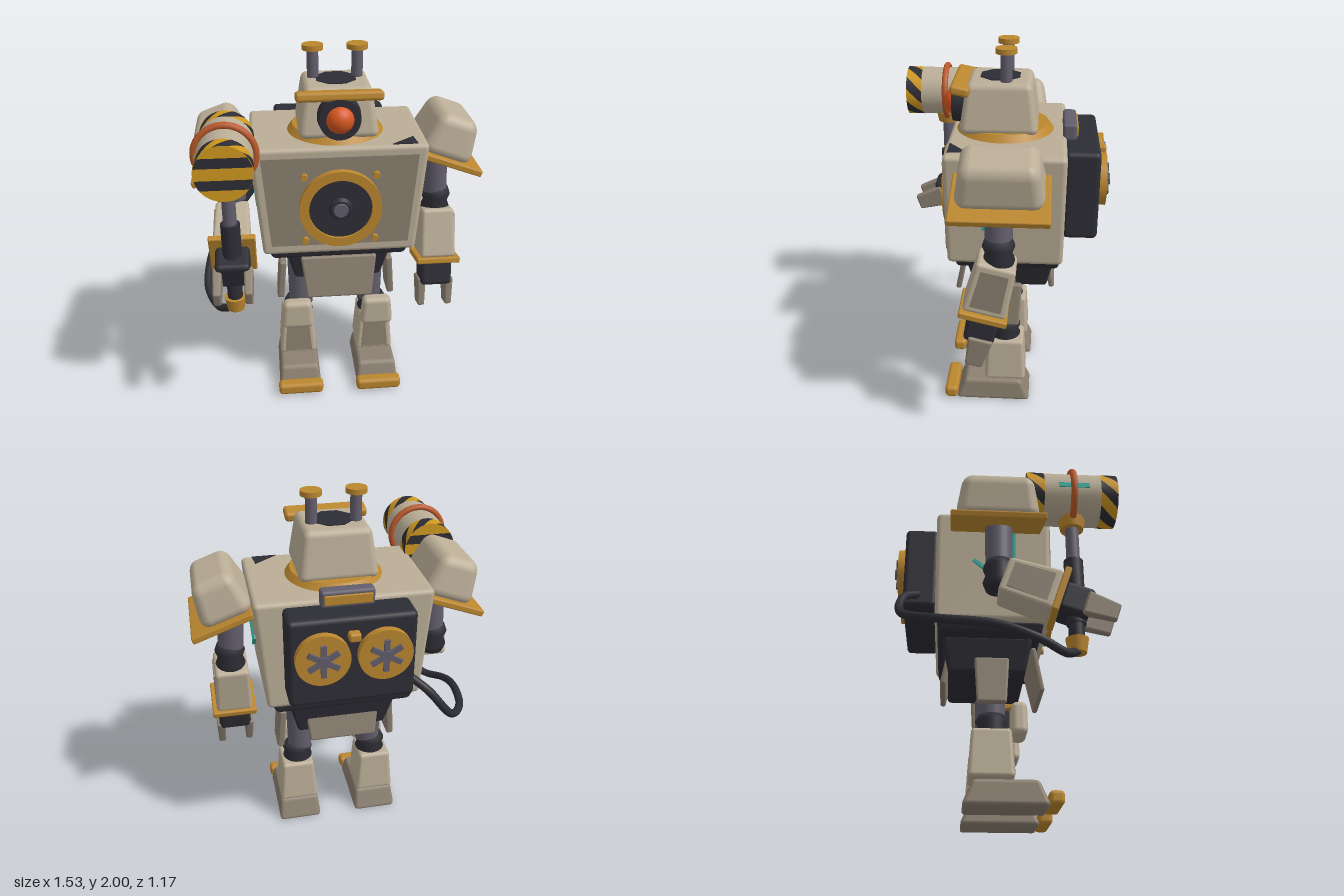
import * as THREE from 'three';
import { RoundedBoxGeometry } from 'three/addons/geometries/RoundedBoxGeometry.js';

const mat = (name, color) => Object.assign(new THREE.MeshStandardMaterial({ color }), { name });
const beige = mat('beige armour', 0xbbae97), taupe = mat('taupe panel', 0x8c8071), gold = mat('gold trim', 0xbb872f);
const dark = mat('dark rubber', 0x2d2d35), grey = mat('grey metal', 0x625e6c), orange = mat('orange lens', 0xd8571f);
const copper = mat('copper ring', 0xb9592b), yellow = mat('hazard yellow', 0xd0991f), teal = mat('teal light', 0x2bab9b);

function add(parent, name, geometry, material, x = 0, y = 0, z = 0, rx = 0, ry = 0, rz = 0) {
  const m = new THREE.Mesh(geometry, material);
  m.name = name;
  m.position.set(x, y, z);
  m.rotation.set(rx, ry, rz);
  parent.add(m);
  return m;
}
function group(parent, name, x = 0, y = 0, z = 0, rx = 0, ry = 0, rz = 0) {
  const g = new THREE.Group();
  g.name = name;
  g.position.set(x, y, z);
  g.rotation.set(rx, ry, rz);
  parent.add(g);
  return g;
}
const rbox = (w, h, d, r = 0.012) => new RoundedBoxGeometry(w, h, d, 2, r);
const cyl = (rt, rb, h, n = 32) => new THREE.CylinderGeometry(rt, rb, h, n);

// Rounded box whose width and depth change from bottom to top
function taperBox(wb, db, wt, dt, h, r = 0.02) {
  const w = (wb + wt) / 2, d = (db + dt) / 2, g = new RoundedBoxGeometry(w, h, d, 3, r);
  const p = g.attributes.position, n = g.attributes.normal, v = new THREE.Vector3();
  const kx = (wt - wb) / w / h, kz = (dt - db) / d / h;
  for (let i = 0; i < p.count; i++) {
    const x = p.getX(i), y = p.getY(i), z = p.getZ(i), sx = 1 + kx * y, sz = 1 + kz * y;
    p.setXYZ(i, x * sx, y, z * sz);
    v.set(n.getX(i) / sx, n.getY(i) - n.getX(i) * x * kx / sx - n.getZ(i) * z * kz / sz, n.getZ(i) / sz).normalize();
    n.setXYZ(i, v.x, v.y, v.z);
  }
  return g;
}
// Flat trapezoid plate facing +z
function plate(wb, wt, h, t = 0.008) {
  const s = new THREE.Shape([[-wb, -h], [wb, -h], [wt, h], [-wt, h]].map(([x, y]) => new THREE.Vector2(x / 2, y / 2)));
  return new THREE.ExtrudeGeometry(s, { depth: t, bevelEnabled: false });
}
// Ribbed joint
function bellows(r, h, n) {
  const pts = [new THREE.Vector2(0, -h / 2)];
  for (let i = 0; i <= 2 * n; i++) pts.push(new THREE.Vector2(i % 2 ? r : r * 0.82, -h / 2 + h * i / (2 * n)));
  pts.push(new THREE.Vector2(0, h / 2));
  return new THREE.LatheGeometry(pts, 24);
}
function ring(ro, ri, t) {
  const s = new THREE.Shape().absarc(0, 0, ro, 0, Math.PI * 2);
  s.holes.push(new THREE.Path().absarc(0, 0, ri, 0, Math.PI * 2, true));
  return new THREE.ExtrudeGeometry(s, { depth: t, bevelEnabled: false, curveSegments: 40 });
}

function torso(root) {
  const g = group(root, 'torso');
  add(g, 'chestShell', taperBox(0.82, 0.6, 0.92, 0.61, 0.61, 0.025), beige, 0, 1.245, -0.05);
  add(g, 'chestPanel', plate(0.73, 0.81, 0.5), taupe, 0, 1.25, 0.252);
  add(g, 'portholeRing', ring(0.215, 0.165, 0.04), gold, 0, 1.22, 0.255);
  add(g, 'portholeDisc', cyl(0.17, 0.17, 0.03, 40), dark, 0, 1.22, 0.265, Math.PI / 2);
  add(g, 'portholeHubRim', cyl(0.05, 0.066, 0.025), dark, 0, 1.22, 0.288, Math.PI / 2);
  add(g, 'portholeHub', cyl(0.036, 0.045, 0.02), grey, 0, 1.22, 0.298, Math.PI / 2);
  for (const x of [-0.185, 0.185]) for (const y of [1.035, 1.4])
    add(g, 'chestBolt', cyl(0.018, 0.02, 0.03, 12), gold, x, y, 0.268, Math.PI / 2);
  // Worn patch on the top front corner
  const chip = new THREE.Shape([[0.27, -0.235], [0.4, -0.235], [0.39, -0.14]].map(a => new THREE.Vector2(...a)));
  add(g, 'cornerChip', new THREE.ExtrudeGeometry(chip, { depth: 0.005, bevelEnabled: false }), dark, 0, 1.549, 0, -Math.PI / 2);
  // Light strips under the arms
  for (const s of [-1, 1]) {
    add(g, 'sideLight', new THREE.BoxGeometry(0.012, 0.28, 0.02), teal, s * 0.445, 1.29, 0.055, 0, 0, -s * 0.08);
    add(g, 'sideLightDiagonal', new THREE.BoxGeometry(0.016, 0.18, 0.02), teal, s * 0.438, 1.215, -0.085, -0.9);
  }
  // Waist, pelvis and skirt plates
  add(g, 'waist', taperBox(0.72, 0.53, 0.77, 0.56, 0.06), dark, 0, 0.92, -0.06);
  add(g, 'pelvis', taperBox(0.48, 0.4, 0.58, 0.48, 0.19), dark, 0, 0.81, -0.07);
  add(g, 'frontSkirt', taperBox(0.36, 0.03, 0.42, 0.03, 0.24, 0.012), taupe, 0, 0.762, 0.2, -0.2);
  add(g, 'backSkirt', taperBox(0.36, 0.03, 0.42, 0.03, 0.22, 0.012), taupe, 0, 0.78, -0.28, 0.2);
  for (const s of [-1, 1]) add(g, 'sideSkirt', taperBox(0.04, 0.15, 0.04, 0.18, 0.25, 0.012), taupe, s * 0.315, 0.64, -0.05, 0, 0, s * 0.08);
}

function head(root) {
  const g = group(root, 'head');
  add(g, 'collar', cyl(0.23, 0.26, 0.04, 40), gold, 0, 1.565, -0.03);
  add(g, 'skull', taperBox(0.42, 0.41, 0.34, 0.33, 0.26, 0.035), beige, 0, 1.7, -0.005);
  add(g, 'brow', rbox(0.44, 0.05, 0.1, 0.018), gold, 0, 1.8, 0.19, -0.2);
  add(g, 'crownHatch', cyl(0.11, 0.11, 0.008, 8), dark, 0, 1.831, -0.005, 0, Math.PI / 8);
  add(g, 'eyeSocket', cyl(0.105, 0.115, 0.09, 36), dark, 0, 1.69, 0.2, Math.PI / 2);
  add(g, 'eye', new THREE.SphereGeometry(0.075, 28, 18), orange, 0, 1.69, 0.22);
  for (const s of [-1, 1]) {
    add(g, 'antennaStalk', cyl(0.03, 0.03, 0.16, 20), grey, s * 0.115, 1.9, -0.04);
    add(g, 'antennaCap', cyl(0.055, 0.055, 0.027, 24), gold, s * 0.115, 1.9865, -0.04);
  }
}

function backpack(root) {
  const g = group(root, 'backpack');
  add(g, 'pack', rbox(0.64, 0.475, 0.18, 0.025), dark, 0, 1.292, -0.435);
  add(g, 'packHandle', rbox(0.27, 0.09, 0.07, 0.015), grey, 0, 1.57, -0.37);
  add(g, 'handleTrim', rbox(0.24, 0.05, 0.012, 0.004), gold, 0, 1.57, -0.408);
  add(g, 'packLatch', rbox(0.06, 0.045, 0.06), gold, 0, 1.44, -0.54);
  for (const s of [-1, 1]) {
    const f = group(g, 'fan', s * 0.155, 1.33, -0.54);
    add(f, 'fanDisc', cyl(0.137, 0.137, 0.045, 36), gold, 0, 0, 0, Math.PI / 2);
    add(f, 'fanHub', cyl(0.03, 0.03, 0.05, 20), grey, 0, 0, -0.02, Math.PI / 2);
    for (let i = 0; i < 6; i++) {
      const a = i * Math.PI / 3;
      add(f, 'fanBlade', new THREE.BoxGeometry(0.028, 0.07, 0.02), grey, -Math.sin(a) * 0.052, Math.cos(a) * 0.052, -0.026, 0, 0, a);
    }
  }
  const path = [[-0.3, 1.13, -0.44], [-0.4, 1.06, -0.51], [-0.53, 0.9, -0.51], [-0.66, 0.81, -0.32], [-0.72, 0.76, -0.05],
    [-0.725, 0.69, 0.15], [-0.66, 0.65, 0.28], [-0.57, 0.7, 0.35]].map(p => new THREE.Vector3(...p));
  add(g, 'hose', new THREE.TubeGeometry(new THREE.CatmullRomCurve3(path), 64, 0.022, 12), dark);
}

// s is the side, bend is how far the forearm swings forward
function arm(root, s, bend) {
  const g = group(root, s > 0 ? 'leftArm' : 'rightArm');
  const p = group(g, 'shoulder', s * 0.605, 1.4, -0.04, 0, 0, -s * 0.35);
  add(p, 'shoulderRim', rbox(0.33, 0.035, 0.48, 0.008), gold);
  add(p, 'pauldron', taperBox(0.29, 0.44, 0.21, 0.36, 0.23, 0.055), beige, -s * 0.04, 0.12, 0);
  add(g, 'upperArm', cyl(0.072, 0.068, 0.28, 28), grey, s * 0.555, 1.29, -0.03, 0, 0, s * 0.06);
  add(g, 'elbow', bellows(0.082, 0.16, 2), dark, s * 0.57, 1.1, -0.03);
  const f = group(g, 'forearm', s * 0.57, 1.08, -0.03, -bend);
  add(f, 'forearmShell', taperBox(0.2, 0.23, 0.18, 0.2, 0.28), beige, 0, -0.16, 0);
  add(f, 'forearmPanel', plate(0.16, 0.14, 0.21), taupe, s * 0.091, -0.16, 0, 0, s * Math.PI / 2, 0);
  add(f, 'cuff', rbox(0.245, 0.035, 0.25, 0.008), gold, 0, -0.315, 0);
  add(f, 'hand', rbox(0.18, 0.16, 0.16, 0.025), dark, 0, -0.4, -0.01);
  for (const t of [-1, 1]) add(f, 'finger', taperBox(0.04, 0.09, 0.05, 0.13, 0.17, 0.012), taupe, t * 0.08, -0.53, -0.02);
}

function leg(root, s) {
  const g = group(root, s > 0 ? 'leftLeg' : 'rightLeg');
  add(g, 'thigh', cyl(0.075, 0.068, 0.32, 28), grey, s * 0.205, 0.61, -0.045);
  add(g, 'kneeJoint', bellows(0.085, 0.12, 2), dark, s * 0.22, 0.42, -0.045);
  add(g, 'kneePad', taperBox(0.195, 0.085, 0.16, 0.08, 0.175, 0.03), beige, s * 0.232, 0.45, 0.09);
  add(g, 'shin', taperBox(0.22, 0.23, 0.18, 0.2, 0.25), beige, s * 0.23, 0.265, -0.05);
  add(g, 'shinPanel', plate(0.16, 0.13, 0.19), taupe, s * 0.23, 0.255, 0.053, -0.06);
  add(g, 'foot', taperBox(0.25, 0.43, 0.22, 0.32, 0.13, 0.022), taupe, s * 0.23, 0.066, 0.02);
  add(g, 'toeBumper', rbox(0.26, 0.07, 0.075, 0.022), gold, s * 0.23, 0.043, 0.26);
}

// Band of slanted hazard stripes round the hammer head
function hazardBand(r, h) {
  const g = new THREE.CylinderGeometry(r, r, h, 48, 4, true), p = g.attributes.position;
  for (let i = 0; i < p.count; i++) {
    const a = Math.atan2(p.getX(i), p.getZ(i)) + p.getY(i) / r;
    p.setXYZ(i, Math.sin(a) * r, p.getY(i), Math.cos(a) * r);
  }
  g.computeVertexNormals();
  g.clearGroups();
  for (let i = 0; i < 12; i++) g.addGroup(i * 96, 96, i % 2);
  return g.rotateX(Math.PI / 2);
}
function hammer(root) {
  const g = group(root, 'hammer', -0.57, 0, 0.35), y = 1.575;
  add(g, 'shaft', cyl(0.035, 0.035, 0.68, 20), grey, 0, 1.08, 0);
  add(g, 'grip', cyl(0.05, 0.05, 0.36, 20), dark, 0, 1.02, 0);
  add(g, 'lowerGrip', cyl(0.04, 0.04, 0.12, 20), dark, 0, 0.81, 0);
  add(g, 'pommel', cyl(0.058, 0.045, 0.075, 20), gold, 0, 0.725, 0);
  add(g, 'headSocket', cyl(0.072, 0.06, 0.06, 24), gold, 0, 1.42, 0);
  add(g, 'hammerHead', cyl(0.138, 0.138, 0.465, 48), beige, 0, y, -0.005, Math.PI / 2);
  add(g, 'hammerRing', new THREE.TorusGeometry(0.15, 0.018, 12, 48), copper, 0, y, 0);
  add(g, 'hammerLight', new THREE.BoxGeometry(0.01, 0.025, 0.16), teal, -0.138, y, 0);
  for (const s of [-1, 1]) {
    add(g, 'hazardBand', hazardBand(0.14, 0.088), [yellow, dark], 0, y, -0.005 + s * 0.191);
    const face = group(g, 'strikingFace', 0, y, -0.005 + s * 0.2325, 0, s > 0 ? 0 : Math.PI);
    add(face, 'faceDisc', new THREE.CircleGeometry(0.14, 48), yellow, 0, 0, 0.001);
    for (const m of [-0.055, 0.055]) {
      const a = Math.asin((m - 0.025) / 0.138), b = Math.asin((m + 0.025) / 0.138);
      const shape = new THREE.Shape().absarc(0, 0, 0.138, a, b).absarc(0, 0, 0.138, Math.PI - b, Math.PI - a);
      add(face, 'faceStripe', new THREE.ShapeGeometry(shape), dark, 0, 0, 0.004);
    }
  }
}

export function createModel() {
  const root = new THREE.Group();
  root.name = 'robot';
  torso(root);
  head(root);
  backpack(root);
  arm(root, 1, 0.24);
  arm(root, -1, 1.25);
  for (const s of [-1, 1]) leg(root, s);
  hammer(root);
  return root;
}
